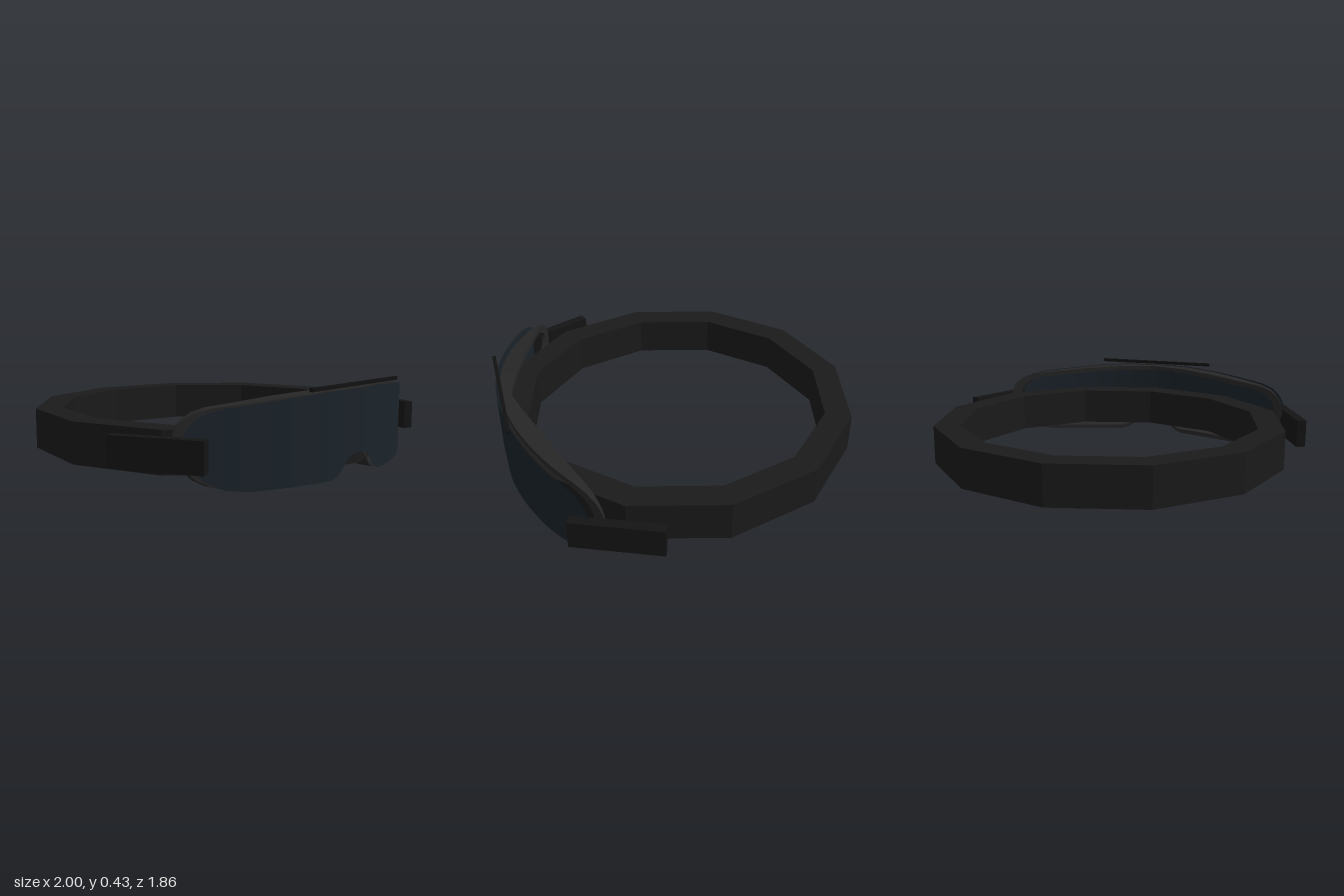
import * as THREE from 'three';
import { toCreasedNormals } from 'three/addons/utils/BufferGeometryUtils.js';

const V = (x, y) => new THREE.Vector2(x, y);

// Half outlines of the visor, from the centre to the outer end
const topEdge = [[0, 0.41], [0.2, 0.408], [0.4, 0.395], [0.6, 0.374], [0.7, 0.365], [0.77, 0.345], [0.82, 0.305], [0.84, 0.26]];
const bottomEdge = [[0, 0.112], [0.06, 0.105], [0.1, 0.08], [0.12, 0.045], [0.15, 0.017], [0.2, 0.005], [0.4, 0.005],
  [0.6, 0.005], [0.7, 0.02], [0.77, 0.06], [0.81, 0.115], [0.84, 0.21]];

// Height of an edge at a given distance from the centre
function sample(edge, x) {
  const ax = Math.abs(x);
  for (let i = 1; i < edge.length; i++) {
    const [x0, y0] = edge[i - 1], [x1, y1] = edge[i];
    if (ax <= x1) return y0 + (y1 - y0) * (ax - x0) / (x1 - x0);
  }
  return edge[edge.length - 1][1];
}

// Grid of points joined into quads
function gridGeometry(rows, closed) {
  const pos = [], index = [], n = rows[0].length, m = rows.length;
  rows.forEach(r => r.forEach(p => pos.push(...p)));
  for (let i = 0; i < (closed ? m : m - 1); i++) {
    for (let k = 0; k < (closed ? n : n - 1); k++) {
      const j = (i + 1) % m, l = (k + 1) % n;
      const a = i * n + k, b = i * n + l, c = j * n + l, d = j * n + k;
      index.push(a, b, c, a, c, d);
    }
  }
  const g = new THREE.BufferGeometry();
  g.setAttribute('position', new THREE.Float32BufferAttribute(pos, 3));
  g.setIndex(index);
  g.computeVertexNormals();
  return g;
}

export function createModel() {
  const group = new THREE.Group();
  const add = (name, geometry, color, options = {}) => {
    const mesh = new THREE.Mesh(geometry, new THREE.MeshStandardMaterial({ color, ...options }));
    mesh.name = name;
    group.add(mesh);
    return mesh;
  };

  // Twelve-sided head band
  const band = [V(0.927, 0.06), V(0.927, 0.26), V(0.79, 0.26), V(0.79, 0.06), V(0.927, 0.06)];
  add('headBand', new THREE.LatheGeometry(band, 12), 0x1a1a1a, { flatShading: true });

  // Columns across the visor, closer together near the ends
  const xs = [];
  for (let i = 0; i <= 72; i++) {
    const t = i / 36 - 1;
    xs.push(0.84 * (0.6 * t + 0.4 * Math.sin(t * Math.PI / 2)));
  }

  // Curved lens sheet with a nose notch
  const lensZ = x => 0.93 - 0.42 * x * x;
  const lensRows = xs.map(x => {
    const top = sample(topEdge, x), bottom = sample(bottomEdge, x);
    return [0, 0.25, 0.5, 0.75, 1].map(t => [x, top + (bottom - top) * t, lensZ(x)]);
  });
  add('lens', gridGeometry(lensRows, false), 0x1a2229, { side: THREE.DoubleSide });

  // Rim behind the lens, deepest over the eyes and thin at the ends
  const rimFront = x => 0.91 - 0.48 * x * x;
  const rimDepth = x => {
    const u = Math.abs(x) / 0.84;
    return 0.045 * (1 - u) + 0.065 * Math.sin(u * Math.PI) + 0.008;
  };
  const section = (x, edge, inset) => {
    const y = sample(edge, x), xi = x * 0.95;
    const f = rimFront(x), fi = rimFront(xi);
    return [[x, y, f], [x, y, f - rimDepth(x)], [xi, y + inset, fi - rimDepth(xi)], [xi, y + inset, fi]];
  };
  const rimRows = [
    ...[...xs].reverse().map(x => section(x, topEdge, -0.024)),
    ...xs.map(x => section(x, bottomEdge, 0.024)),
  ];
  add('rim', toCreasedNormals(gridGeometry(rimRows, true), 0.7), 0x262626, { side: THREE.DoubleSide });

  // Thin bar along the top of the visor
  add('topBar', new THREE.BoxGeometry(0.69, 0.017, 0.018), 0x111111).position.set(0, 0.427, 0.908);

  // Angled side plates
  for (const [name, s] of [['leftSidePlate', 1], ['rightSidePlate', -1]]) {
    const plate = add(name, new THREE.BoxGeometry(0.05, 0.145, 0.44), 0x141414);
    plate.position.set(s * 0.888, 0.175, 0.522);
    plate.rotation.y = -s * 0.41;
  }
  return group;
}
